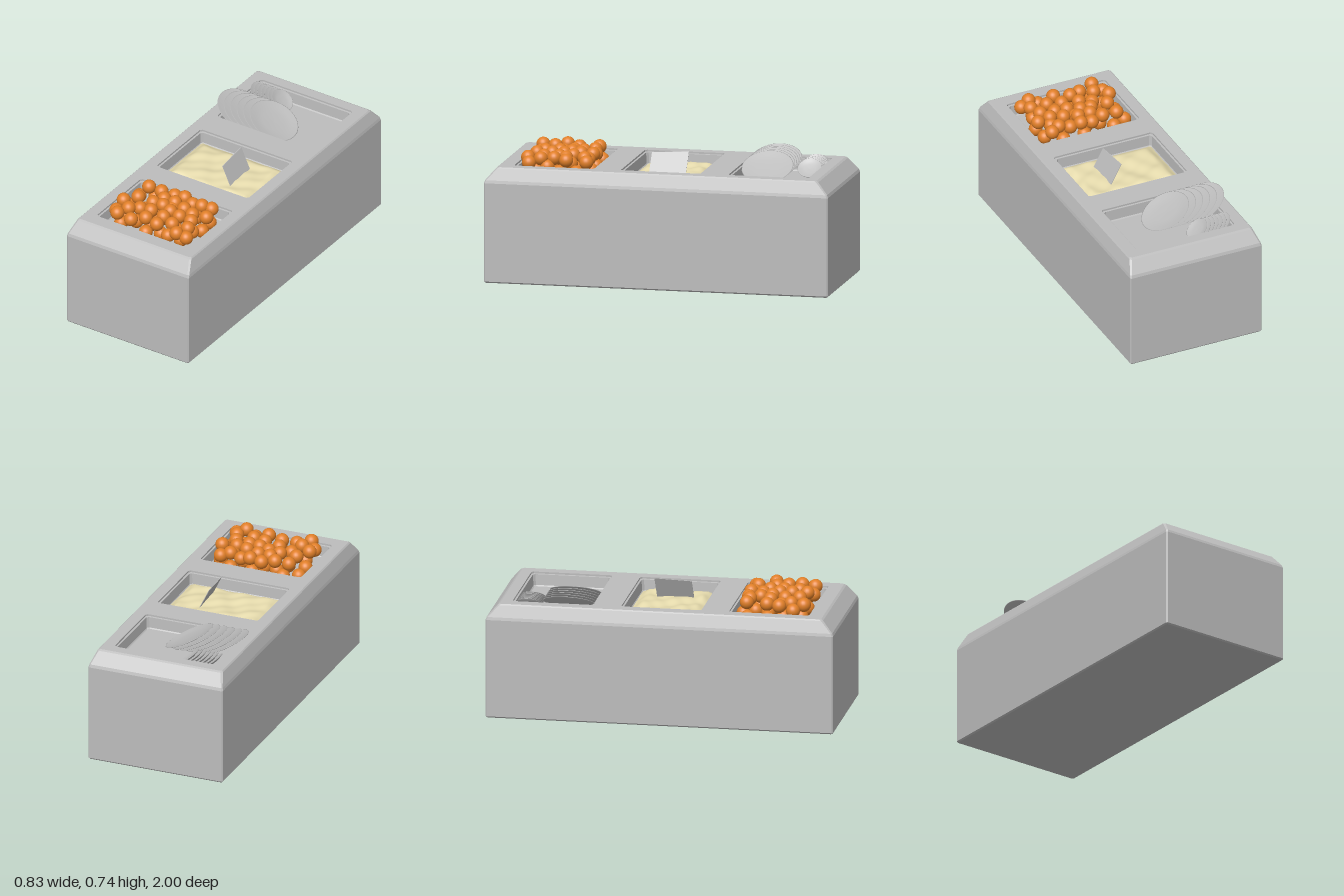
import * as THREE from 'three';

const TOP = 0.665, FLOOR = 0.585;
const WELLS = { dishes: -0.63, mash: -0.005, balls: 0.615 };

// Rectangle with cut corners, in the ground plane
function ring(hx, hz, y, cut, cz = 0) {
  const a = hx - cut, b = hz - cut;
  return [[hx, -b], [hx, b], [a, hz], [-a, hz], [-hx, b], [-hx, -b], [-a, -hz], [a, -hz]]
    .map(([x, z]) => new THREE.Vector3(x, y, z + cz));
}

// Flat-shaded skin through a list of rings
function loft(rings) {
  const n = rings[0].length, index = [];
  for (let i = 0; i < rings.length - 1; i++) {
    for (let j = 0; j < n; j++) {
      const a = i * n + j, b = i * n + (j + 1) % n;
      index.push(a, a + n, b + n, a, b + n, b);
    }
  }
  const geo = new THREE.BufferGeometry().setFromPoints(rings.flat());
  geo.setIndex(index);
  const flat = geo.toNonIndexed();
  flat.computeVertexNormals();
  return flat;
}

// Shallow closed dish, opening upward
function dishGeometry(r, depth) {
  const profile = [
    [0, -depth], [0.45, -depth], [0.75, -depth * 0.6], [0.98, -0.003], [1, 0],
    [0.97, 0.001], [0.75, -depth * 0.35], [0.45, -depth * 0.6], [0, -depth * 0.65],
  ].map(([x, y]) => new THREE.Vector2(x * r, y));
  return new THREE.LatheGeometry(profile, 40);
}

function seeded(seed) {
  return () => (seed = (seed * 16807) % 2147483647) / 2147483647;
}

export function createModel() {
  const model = new THREE.Group();
  model.name = 'buffetCounter';
  const material = (name, color) => {
    const m = new THREE.MeshStandardMaterial({ color });
    m.name = name;
    return m;
  };
  const steel = material('steelGrey', 0xbcbcbc);
  const orange = material('orange', 0xe07f28);
  const cream = material('cream', 0xeadfb0);

  const add = (name, geo, mat, parent = model) => {
    const mesh = new THREE.Mesh(geo, mat);
    mesh.name = name;
    parent.add(mesh);
    return mesh;
  };

  // Cabinet with bevelled foot, corners and shoulders
  add('cabinet', loft([
    ring(0, 0, 0, 0),
    ring(0.406, 0.993, 0, 0.006),
    ring(0.413, 1, 0.008, 0.007),
    ring(0.413, 1, 0.575, 0.007),
    ring(0.409, 0.994, 0.592, 0.008),
    ring(0.385, 0.937, 0.658, 0.01),
    ring(0.378, 0.925, TOP, 0.01),
  ]), steel);

  // Worktop with three openings
  const outline = (pts) => pts.map((p) => new THREE.Vector2(p.x, -p.z));
  const top = new THREE.Shape(outline(ring(0.378, 0.925, TOP, 0.01)));
  for (const cz of Object.values(WELLS)) {
    top.holes.push(new THREE.Path(outline(ring(0.31, 0.232, TOP, 0.012, cz))));
  }
  add('worktop', new THREE.ShapeGeometry(top).rotateX(-Math.PI / 2).translate(0, TOP, 0), steel);

  // Sunken pans with a stepped lip
  for (const [name, cz] of Object.entries(WELLS)) {
    add(name + 'Pan', loft([
      ring(0.31, 0.232, TOP, 0.012, cz),
      ring(0.31, 0.232, 0.655, 0.012, cz),
      ring(0.3, 0.222, 0.653, 0.012, cz),
      ring(0.296, 0.218, FLOOR + 0.006, 0.012, cz),
      ring(0.29, 0.212, FLOOR, 0.012, cz),
      ring(0, 0, FLOOR, 0, cz),
    ]), steel);
  }

  // Leaning rows of plates and small bowls
  const dishRow = (name, count, geo, x, step, y, z, tilt) => {
    const row = new THREE.Group();
    row.name = name + 'Row';
    model.add(row);
    for (let i = 0; i < count; i++) {
      const dish = add(name, geo, steel, row);
      dish.position.set(x + i * step, y, z);
      dish.rotation.z = -tilt;
    }
  };
  dishRow('plate', 6, dishGeometry(0.148, 0.02), -0.24, 0.044, 0.657, -0.55, 0.47);
  dishRow('smallBowl', 7, dishGeometry(0.07, 0.014), -0.255, 0.024, 0.642, -0.775, 0.67);

  // Lumpy mash, sagging towards the pan walls
  const mash = new THREE.PlaneGeometry(0.598, 0.44, 48, 36).rotateX(-Math.PI / 2);
  const p = mash.attributes.position;
  for (let i = 0; i < p.count; i++) {
    const x = p.getX(i), z = p.getZ(i);
    const edge = Math.min(0.299 - Math.abs(x), 0.22 - Math.abs(z));
    const rise = THREE.MathUtils.smoothstep(edge, -0.01, 0.07);
    const lumps = 0.006 * Math.sin(17 * x + 9 * z) * Math.cos(23 * z - 6 * x)
      + 0.003 * Math.sin(41 * x - 25 * z + 1) + 0.002 * Math.sin(60 * z + 35 * x);
    p.setY(i, 0.582 + rise * (0.036 + lumps));
  }
  mash.computeVertexNormals();
  add('mash', mash, cream).position.z = WELLS.mash;

  // Thin serving blade stuck in the mash
  const blade = new THREE.BoxGeometry(0.004, 0.15, 0.212);
  const b = blade.attributes.position;
  for (let i = 0; i < b.count; i++) {
    const y = b.getY(i), z = b.getZ(i);
    b.setXYZ(i, b.getX(i) + 0.088 - y * 0.5 + z * 0.06, y + 0.657 - z * 0.05, z - y * 0.04);
  }
  blade.computeVertexNormals();
  add('servingBlade', blade, steel);

  // Balls dropped into the front pan, each taking the lowest of several spots
  const rand = seeded(77), r = 0.04, balls = [];
  const pile = new THREE.Group();
  pile.name = 'ballPile';
  model.add(pile);
  const ballGeo = new THREE.SphereGeometry(r, 24, 16);
  for (let n = 0; n < 58; n++) {
    let best = null;
    for (let t = 0; t < 40; t++) {
      const x = (rand() * 2 - 1) * 0.257, z = WELLS.balls + (rand() * 2 - 1) * 0.18;
      let y = FLOOR + r;
      for (const q of balls) {
        const gap = 4 * r * r - (x - q.x) ** 2 - (z - q.z) ** 2;
        if (gap > 0) y = Math.max(y, q.y + Math.sqrt(gap));
      }
      if (!best || y < best.y) best = new THREE.Vector3(x, y, z);
    }
    best.y = Math.min(best.y, 0.695);
    balls.push(best);
    add('ball', ballGeo, orange, pile).position.copy(best);
  }
  return model;
}
